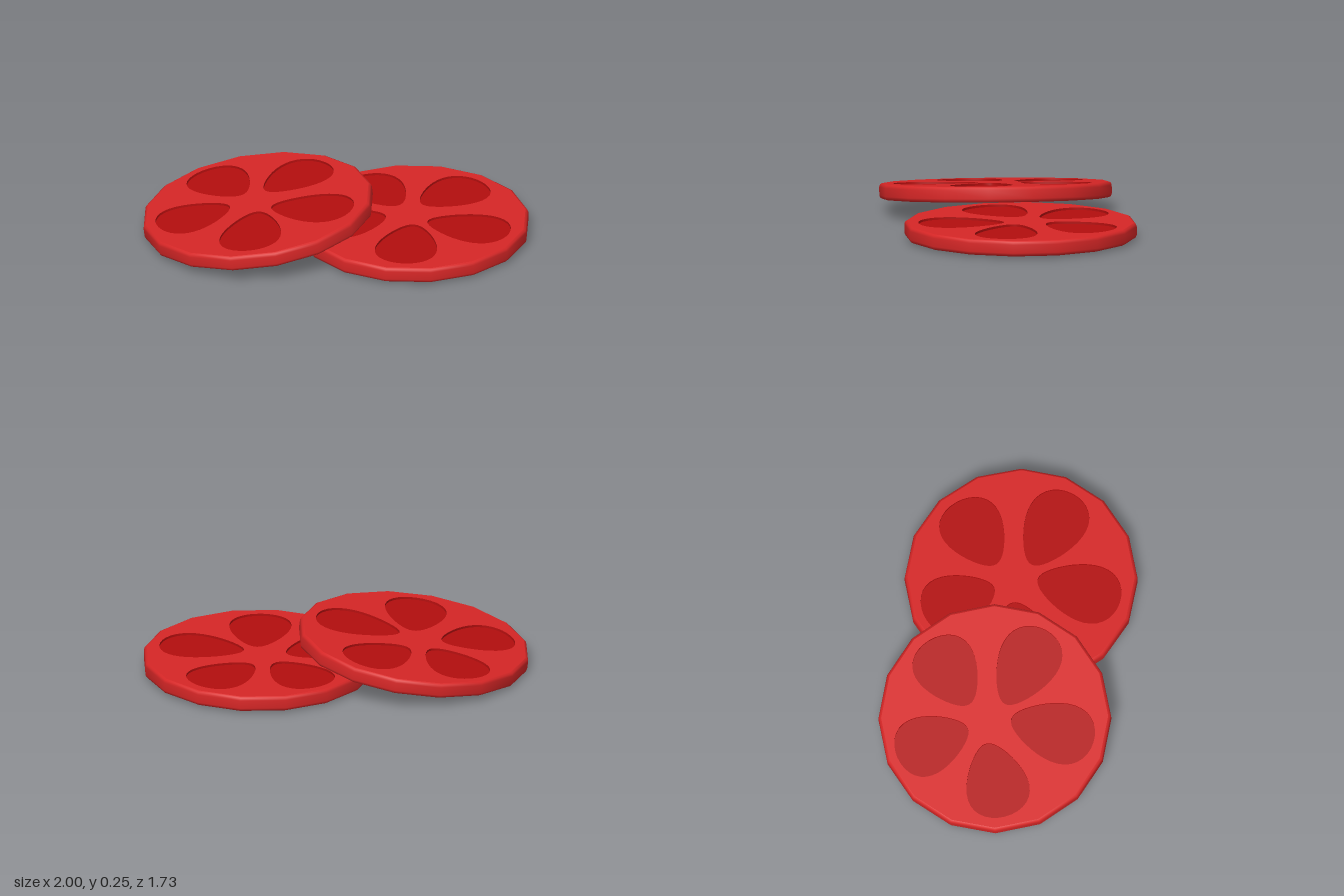
import * as THREE from 'three';

const R = 0.64, H = 0.043, BEVEL = 0.016, SIDES = 16, DEPTH = 0.013;

// Seed pockets: inner tip, outer end (slice plane, y towards the back), half width
const POCKETS = [
  [[0, 0.16], [0, 0.58], 0.17],
  [[0.12, 0.1], [0.54, 0.165], 0.175],
  [[-0.12, 0.1], [-0.54, 0.165], 0.175],
  [[0.045, -0.08], [0.345, -0.445], 0.172],
  [[-0.045, -0.08], [-0.345, -0.445], 0.172],
];

// Egg outline, narrow at the tip, counter-clockwise
function eggOutline([tip, end, halfWidth], n = 36) {
  const a = new THREE.Vector2(...tip), axis = new THREE.Vector2(...end).sub(a);
  const side = new THREE.Vector2(axis.y, -axis.x).normalize();
  const points = [];
  for (let i = 0; i < n; i++) {
    const t = (i / n) * Math.PI * 2;
    const w = halfWidth * Math.sin(t) * (1 - 0.35 * Math.cos(t)) / 1.06;
    points.push(a.clone().addScaledVector(axis, (1 - Math.cos(t)) / 2).addScaledVector(side, w));
  }
  return points;
}

// Inward-facing wall strip around a pocket
function wallGeometry(outline) {
  const pos = [], index = [], n = outline.length;
  outline.forEach((p) => pos.push(p.x, H, -p.y, p.x, H - DEPTH, -p.y));
  for (let i = 0; i < n; i++) {
    const a = 2 * i, b = 2 * ((i + 1) % n);
    index.push(a, b, a + 1, b, b + 1, a + 1);
  }
  const g = new THREE.BufferGeometry();
  g.setAttribute('position', new THREE.Float32BufferAttribute(pos, 3));
  g.setIndex(index);
  g.computeVertexNormals();
  return g;
}

function flatShape(shape, y) {
  return new THREE.ShapeGeometry(shape).rotateX(-Math.PI / 2).translate(0, y, 0);
}

function createSlice(name, flesh, pulp, pulpWall) {
  const slice = new THREE.Group();
  slice.name = name;
  const add = (part, geometry, material) => {
    const mesh = new THREE.Mesh(geometry, material);
    mesh.name = part;
    slice.add(mesh);
  };
  const outlines = POCKETS.map((p) => eggOutline(p));
  const capR = R - BEVEL;

  // Rounded skin around the edge
  const profile = [
    [capR, -H], [R - 0.005, -H + 0.006], [R, -H + 0.02],
    [R, H - 0.02], [R - 0.005, H - 0.006], [capR, H],
  ].map((p) => new THREE.Vector2(...p));
  add('rim', new THREE.LatheGeometry(profile, SIDES), flesh);

  // Cut face with pocket openings
  const face = new THREE.Shape();
  for (let i = 0; i < SIDES; i++) {
    const t = (i / SIDES) * Math.PI * 2;
    face[i ? 'lineTo' : 'moveTo'](capR * Math.cos(t), capR * Math.sin(t));
  }
  face.closePath();
  face.holes = outlines.map((o) => new THREE.Path([...o].reverse()));
  add('topFace', flatShape(face, H), flesh);
  add('bottomFace', new THREE.CircleGeometry(capR, SIDES).rotateX(Math.PI / 2).translate(0, -H, 0), flesh);

  // Sunken pockets
  outlines.forEach((o) => {
    add('pocketFloor', flatShape(new THREE.Shape(o), H - DEPTH), pulp);
    add('pocketWall', wallGeometry(o), pulpWall);
  });
  return slice;
}

export function createModel() {
  const flesh = new THREE.MeshStandardMaterial({ color: 0xd62626 });
  flesh.name = 'red flesh';
  const pulp = new THREE.MeshStandardMaterial({ color: 0xb30e0e });
  pulp.name = 'dark red pulp';
  const pulpWall = pulp.clone();
  pulpWall.side = THREE.DoubleSide;

  const model = new THREE.Group();
  model.name = 'tomatoSlices';

  // Flat slice in front
  const lower = createSlice('lowerSlice', flesh, pulp, pulpWall);
  lower.position.set(0.36, 0.058, 0.222);

  // Tilted slice leaning on it
  const upper = createSlice('upperSlice', flesh, pulp, pulpWall);
  upper.position.set(-0.362, 0.13, -0.23);
  upper.rotation.set(-0.08, 0, 0.105);

  model.add(lower, upper);
  return model;
}
